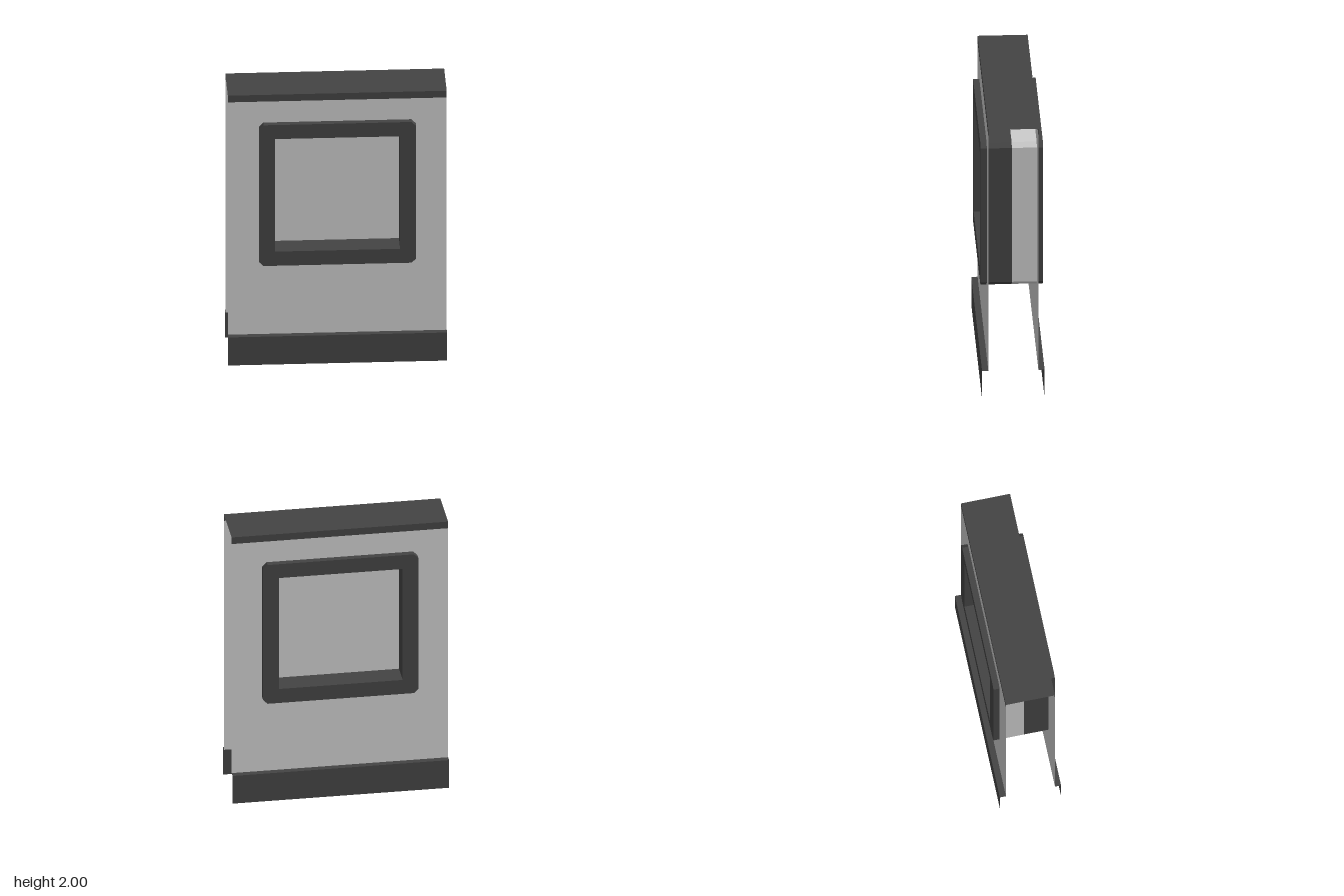
import * as THREE from 'three';

const grey = new THREE.MeshStandardMaterial({ color: 0xcccccc, side: THREE.DoubleSide, flatShading: true });
const dark = new THREE.MeshStandardMaterial({ color: 0x444444, side: THREE.DoubleSide, flatShading: true });

const HALF_W = 0.735;   // half width of the panel
const WALL_Z = 0.168;   // wall skins
const OUTER_Z = 0.21;   // skirts and window frame faces
const PANE_Z = 0.048;   // recessed window panes
const WIN_Y = 1.266;    // window centre height

// Ruled surface between two matching polylines
function strip(a, b) {
  const pos = [];
  for (let i = 0; i < a.length - 1; i++) {
    pos.push(...a[i], ...a[i + 1], ...b[i + 1], ...a[i], ...b[i + 1], ...b[i]);
  }
  const g = new THREE.BufferGeometry();
  g.setAttribute('position', new THREE.Float32BufferAttribute(pos, 3));
  g.computeVertexNormals();
  return g;
}

// Sheet with a [y, z] profile running across the full width
const sheet = (profile) => strip(
  profile.map(([y, z]) => [-HALF_W, y, z]),
  profile.map(([y, z]) => [HALF_W, y, z]));

// Closed loop of [x, y] points extruded along z, without caps
const band = (loop, z0, z1) => {
  const closed = [...loop, loop[0]];
  return strip(closed.map(([x, y]) => [x, y, z0]), closed.map(([x, y]) => [x, y, z1]));
};

const rect = (hw, y0, y1) => [[-hw, y0], [hw, y0], [hw, y1], [-hw, y1]];

// Square with chamfered corners, counter-clockwise
function chamfered(h, c) {
  const k = h - c;
  return [[-k, -h], [k, -h], [h, -k], [h, k], [k, h], [-k, h], [-h, k], [-h, -k]]
    .map(([x, y]) => [x, y + WIN_Y]);
}

const toPoints = (loop) => loop.map(([x, y]) => new THREE.Vector2(x, y));
function plate(loop, hole) {
  const shape = new THREE.Shape(toPoints(loop));
  if (hole) shape.holes.push(new THREE.Path(toPoints(hole)));
  return new THREE.ShapeGeometry(shape);
}

export function createModel() {
  const model = new THREE.Group();
  const add = (name, geometry, material, parent = model) => {
    const mesh = new THREE.Mesh(geometry, material);
    mesh.name = name;
    parent.add(mesh);
    return mesh;
  };

  const outer = chamfered(0.527, 0.03);
  const opening = rect(0.42, 0.845, 1.688);

  // Roof with a short lip on both long sides
  add('roof', sheet([[1.95, -WALL_Z], [2, -WALL_Z], [2, WALL_Z], [1.95, WALL_Z]]), dark);

  // Wall, skirt and window on each side
  for (const side of ['front', 'back']) {
    const half = new THREE.Group();
    half.name = side + 'Side';
    if (side === 'back') half.rotation.y = Math.PI;
    model.add(half);

    add(side + 'Wall', plate(rect(HALF_W, 0.21, 1.95), opening), grey, half).position.z = WALL_Z;
    add(side + 'Skirt', sheet([[0.21, WALL_Z], [0.21, OUTER_Z], [0, OUTER_Z]]), dark, half);
    add(side + 'WindowFrame', plate(outer, opening), dark, half).position.z = OUTER_Z;
    add(side + 'WindowFrameRim', band(outer, WALL_Z, OUTER_Z), dark, half);
    // Casing inside the wall, dark at the front and grey at the back
    add(side + 'WindowCasing', band(outer, 0, WALL_Z), side === 'front' ? dark : grey, half);
    add(side + 'WindowReveal', band([...opening].reverse(), PANE_Z, OUTER_Z), dark, half);
    add(side + 'WindowPane', plate(opening), grey, half).position.z = PANE_Z;
  }
  return model;
}
